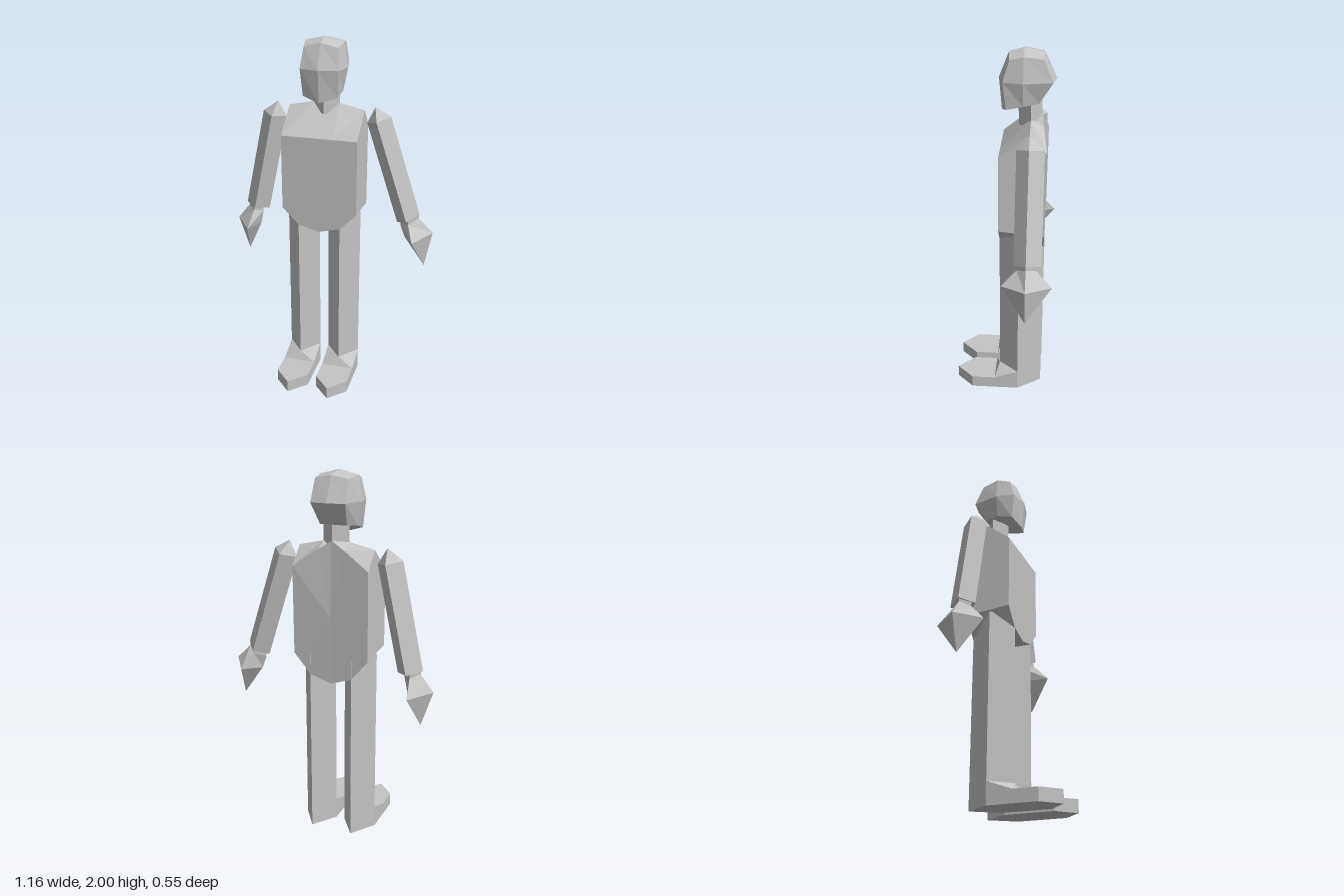
import * as THREE from 'three';

const CX = -0.036; // body centre line

// Skins closed rings of points; each end closes as a fan to a point.
function loft(rings, start, end) {
  const n = rings[0].length;
  const tris = [];
  const centre = (ring) => [0, 1, 2].map((k) => ring.reduce((s, p) => s + p[k], 0) / n);
  const a = start || centre(rings[0]);
  const last = rings[rings.length - 1];
  const b = end || centre(last);
  for (let i = 0; i < n; i++) {
    const j = (i + 1) % n;
    tris.push([a, rings[0][j], rings[0][i]], [b, last[i], last[j]]);
    for (let r = 0; r + 1 < rings.length; r++) {
      const p = rings[r], q = rings[r + 1];
      tris.push([p[i], p[j], q[j]], [p[i], q[j], q[i]]);
    }
  }
  // turn all faces outward by the sign of the enclosed volume
  const v = (p) => new THREE.Vector3(...p);
  const volume = tris.reduce((s, t) => s + v(t[0]).dot(v(t[1]).cross(v(t[2]))), 0);
  if (volume < 0) tris.forEach((t) => t.reverse());
  const geo = new THREE.BufferGeometry();
  geo.setAttribute('position', new THREE.Float32BufferAttribute(tris.flat(2), 3));
  geo.computeVertexNormals();
  return geo;
}

// Completes a half ring (first and last points on the centre line).
const mirrorRing = (half) => [
  ...half,
  ...half.slice(1, -1).reverse().map(([x, y, z]) => [-x, y, z]),
];

// Four-cornered ring: inner, front, outer, back.
function diamond([xi, yi], [xo, yo], zf, zb, xm = (xi + xo) / 2) {
  const ym = (yi + yo) / 2, zm = -0.143;
  return [[xi, yi, zm], [xm, ym, zf], [xo, yo, zm], [xm, ym, zb]];
}

export function createModel() {
  const model = new THREE.Group();
  model.name = 'figure';
  const grey = new THREE.MeshStandardMaterial({ color: 0xc4c4c4 });
  grey.name = 'light grey';
  grey.flatShading = true;

  function add(name, geo, x = 0) {
    const mesh = new THREE.Mesh(geo, grey);
    mesh.name = name;
    mesh.position.x = x;
    model.add(mesh);
  }

  // Torso: front, middle and back outlines
  add('torso', loft([
    mirrorRing([[0, 1.48, 0.02], [0.073, 1.48, 0.02], [0.212, 1.48, 0.02],
      [0.212, 1.06, 0.02], [0.12, 0.965, 0.02], [0, 0.935, 0.02]]),
    mirrorRing([[0, 1.64, -0.14], [0.073, 1.64, -0.14], [0.212, 1.61, -0.14],
      [0.212, 1.045, -0.14], [0.12, 0.94, -0.14], [0, 0.905, -0.14]]),
    mirrorRing([[0, 1.65, -0.2], [0.073, 1.605, -0.208], [0.212, 1.51, -0.23],
      [0.212, 1.035, -0.226], [0.12, 0.925, -0.222], [0, 0.885, -0.22]]),
  ], [0, 1.25, 0.02], [0, 1.25, -0.222]), CX);

  // Neck: diamond prism
  const neckRing = (y, zf, zb) => [[0, y, zf], [0.073, y, -0.14], [0, y, zb], [-0.073, y, -0.14]];
  add('neck', loft([neckRing(1.59, -0.075, -0.2), neckRing(1.75, -0.07, -0.195)]), CX);

  // Head: crown, brow and jaw rings, front to back
  add('head', loft([
    mirrorRing([[0, 1.978, -0.022], [0.092, 1.955, -0.028], [0.105, 1.975, -0.1],
      [0.09, 1.96, -0.2], [0, 1.978, -0.206]]),
    mirrorRing([[0, 1.845, 0.03], [0.105, 1.845, 0.005], [0.128, 1.845, -0.1],
      [0.095, 1.845, -0.25], [0, 1.845, -0.267]]),
    mirrorRing([[0, 1.672, 0.015], [0.095, 1.7, -0.012], [0.102, 1.72, -0.1],
      [0.075, 1.73, -0.18], [0, 1.73, -0.192]]),
  ], [0, 2, -0.1], [0, 1.715, -0.1]), CX);

  // Arms and hands: each hangs at its own angle
  const arms = [
    { side: 'left', apex: [0.233, 1.63, -0.143], top: [[0.19, 1.54], [0.32, 1.586]],
      low: [[0.376, 0.976], [0.5, 1.04]], wrist: [[0.395, 0.96], [0.497, 1.015]],
      palm: [[0.423, 0.89], [0.58, 0.934]], palmX: 0.483, tip: [0.54, 0.728, -0.143] },
    { side: 'right', apex: [-0.317, 1.624, -0.143], top: [[-0.265, 1.54], [-0.402, 1.565]],
      low: [[-0.386, 0.976], [-0.524, 1.0]], wrist: [[-0.425, 0.952], [-0.512, 0.982]],
      palm: [[-0.442, 0.87], [-0.584, 0.89]], palmX: -0.482, tip: [-0.52, 0.697, -0.143] },
  ];
  for (const { side, apex, top, low, wrist, palm, palmX, tip } of arms) {
    add(side + 'Arm', loft([
      diamond(...top, -0.078, -0.22), diamond(...low, -0.078, -0.22),
    ], apex), 0);
    const raised = wrist.map(([x, y]) => [x, y + 0.04]);
    add(side + 'Hand', loft([
      diamond(...raised, -0.095, -0.195), diamond(...wrist, -0.095, -0.195),
      diamond(...palm, -0.017, -0.277, palmX),
    ], null, tip), 0);
  }

  // Legs and feet
  const W = 0.093;
  for (const [side, s] of [['left', 1], ['right', -1]]) {
    const x = CX + s * 0.119;
    const legRing = (y) => [[0, y, 0.02], [W, y, -0.09], [0, y, -0.224], [-W, y, -0.09]];
    add(side + 'Leg', loft([legRing(0), legRing(1.04)]), x);

    // sole outline, then the foot top rising to the ankle
    const sole = (y) => mirrorRing([[0, y, 0.273], [W, y, 0.178], [W, y, 0.045],
      [W, y, -0.09], [0, y, -0.224]]);
    const instep = mirrorRing([[0, 0.07, 0.273], [W, 0.07, 0.178], [W, 0.07, 0.045],
      [W, 0.12, -0.09], [0, 0.12, -0.224]]);
    const ankle = mirrorRing([[0, 0.07, 0.045], [W / 2, 0.07, 0.045], [W, 0.07, 0.045],
      [W, 0.12, -0.09], [0, 0.12, -0.224]]);
    const shin = mirrorRing([[0, 0.12, 0.02], [0, 0.12, 0.02], [0, 0.12, 0.02],
      [W, 0.12, -0.09], [0, 0.12, -0.224]]);
    add(side + 'Foot', loft([sole(0), instep, ankle, shin], [0, 0, 0], [0, 0.12, -0.09]), x);
  }
  return model;
}
